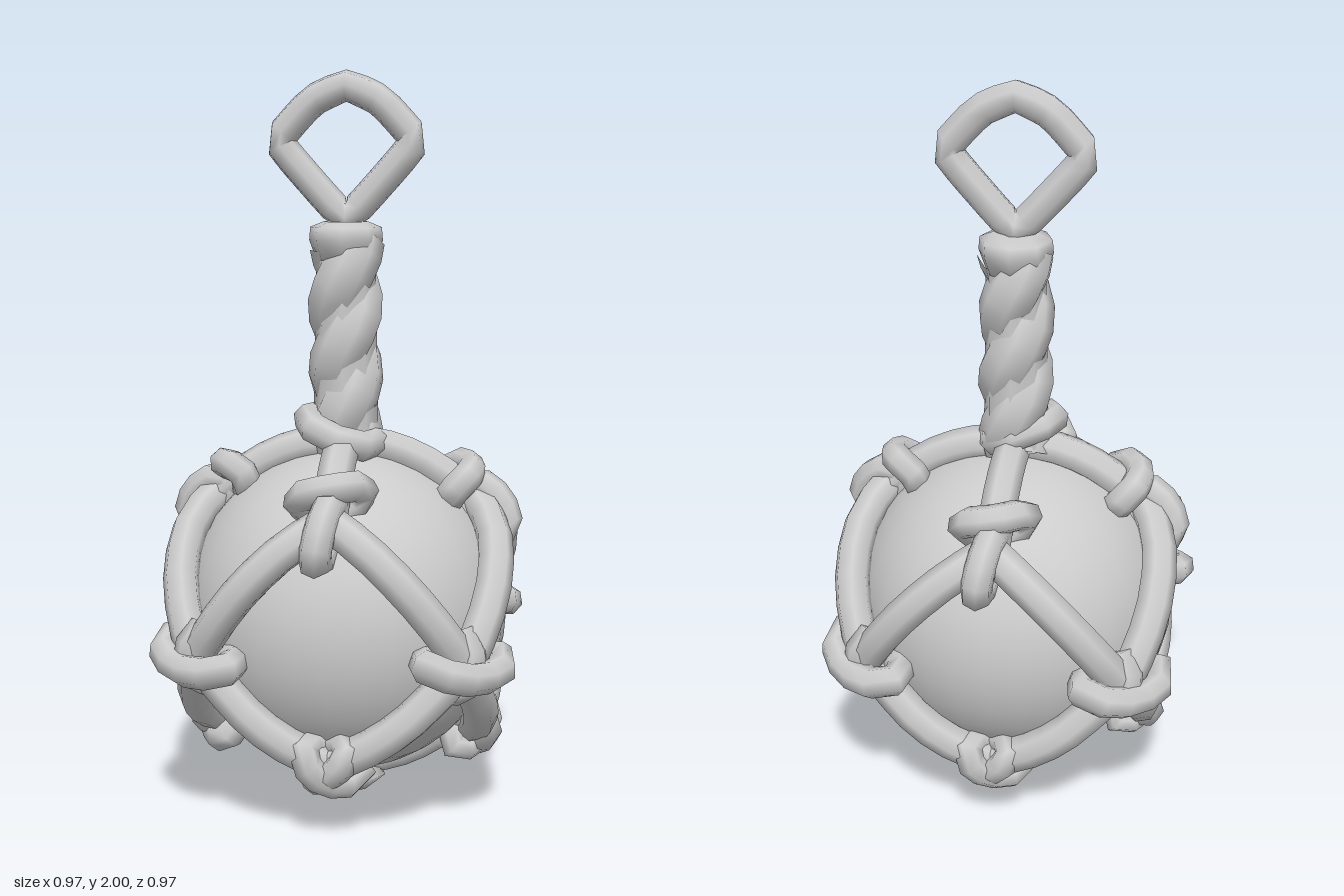
import * as THREE from 'three';

const V = (x, y, z) => new THREE.Vector3(x, y, z);
const CENTRE = V(0, 0.535, 0);
const RADIUS = 0.445;
const ROPE = 0.049;

export function createModel() {
  const model = new THREE.Group();
  model.name = 'nettedFloat';
  const material = new THREE.MeshStandardMaterial({ color: 0xcccccc });

  function add(parent, name, geometry) {
    const mesh = new THREE.Mesh(geometry, material);
    mesh.name = name;
    parent.add(mesh);
    return mesh;
  }

  // Rope along a smooth curve through the points
  function rope(parent, name, points, { radius = ROPE, closed = false, segments = 7, tension = 0.5 } = {}) {
    const curve = new THREE.CatmullRomCurve3(points, closed, 'catmullrom', tension);
    return add(parent, name, new THREE.TubeGeometry(curve, segments, radius, 7, closed));
  }

  // Oval link of rope, lying in its local xz plane
  function link(parent, name, a, b, radius, roll, bend = 0) {
    const points = [];
    for (let i = 0; i < 8; i++) {
      const t = (i / 8) * Math.PI * 2;
      points.push(V(a * Math.cos(t), bend * Math.cos(2 * t), b * Math.sin(t)));
    }
    const mesh = rope(parent, name, points, { radius, closed: true, segments: 10 });
    mesh.rotation.z = roll;
    return mesh;
  }

  // Group at a point on the net, facing outward from the ball
  function outward(parent, name, position) {
    const group = new THREE.Group();
    group.name = name;
    group.position.copy(position);
    group.lookAt(position.clone().multiplyScalar(2).sub(CENTRE));
    parent.add(group);
    return group;
  }

  // Point at a given distance from the ball's centre, towards p
  const onBall = (p, distance) => p.clone().sub(CENTRE).setLength(distance).add(CENTRE);

  // Strand that hugs the ball between two points
  function strand(parent, name, from, to, distance) {
    const points = [from];
    for (const t of [0.25, 0.5, 0.75]) points.push(onBall(from.clone().lerp(to, t), distance));
    points.push(to);
    rope(parent, name, points);
  }

  // Ball
  const ball = add(model, 'ball', new THREE.SphereGeometry(RADIUS, 32, 20));
  ball.position.copy(CENTRE);

  // Net: the same quarter repeated around the ball
  const crown = V(0, 1.0, 0);
  const base = V(0, 0.1, 0);
  const upper = V(0, 0.85, 0.36);
  const lower = V(0, 0.2, 0.35);
  for (let i = 0; i < 4; i++) {
    const quarter = new THREE.Group();
    quarter.name = 'netQuarter';
    const corner = V(0.35, 0.48, 0.35);
    const otherCorner = V(-0.35, 0.48, 0.35);
    strand(quarter, 'crownStrand', crown, upper, 0.468);
    for (const c of [corner, otherCorner]) {
      strand(quarter, 'upperStrand', upper, c, 0.492);
      strand(quarter, 'lowerStrand', c, lower, 0.482);
    }
    strand(quarter, 'baseStrand', lower, base, 0.437);

    // Upper knot: a band above the crossing and a loop hanging over it
    const band = outward(quarter, 'upperKnot', V(0, 0.9, 0.3));
    link(band, 'upperKnotBand', 0.085, 0.055, 0.042, 0.25, 0.012);
    const hanging = outward(quarter, 'upperKnotLoop', V(-0.01, 0.825, 0.385));
    link(hanging, 'hangingLoop', 0.08, 0.045, 0.043, 1.4);

    // Corner knot: a wide band across the meeting strands
    const cornerKnot = outward(quarter, 'cornerKnot', V(0.345, 0.48, 0.345));
    link(cornerKnot, 'cornerKnotBand', 0.132, 0.065, 0.044, -0.1, 0.012);
    link(cornerKnot, 'cornerKnotCross', 0.07, 0.03, 0.04, 1.45);

    // Lower knot: two crossed links
    const lowerKnot = outward(quarter, 'lowerKnot', V(0, 0.205, 0.35));
    link(lowerKnot, 'lowerKnotBand', 0.088, 0.045, 0.043, -0.65, 0.012);
    link(lowerKnot, 'lowerKnotCross', 0.08, 0.04, 0.04, 0.85);

    quarter.rotation.y = (i * Math.PI) / 2;
    model.add(quarter);
  }

  // Knot under the ball
  const baseKnot = outward(model, 'baseKnot', V(0, 0.062, 0));
  link(baseKnot, 'baseKnotBand', 0.08, 0.019, 0.043, 0.4);
  link(baseKnot, 'baseKnotCross', 0.055, 0.015, 0.04, 1.85);

  // Handle: two thick strands twisted tightly around each other
  const handle = new THREE.Group();
  handle.name = 'handle';
  model.add(handle);
  for (let s = 0; s < 2; s++) {
    const points = [];
    for (let i = 0; i <= 12; i++) {
      const t = i / 12;
      const angle = -t * Math.PI * 3.2 + s * Math.PI + 0.5;
      points.push(V(0.03 * Math.cos(angle), 0.98 + 0.57 * t, 0.03 * Math.sin(angle)));
    }
    rope(handle, 'twistedStrand', points, { radius: 0.075, segments: 14 });
  }
  const core = add(handle, 'handleCore', new THREE.CylinderGeometry(0.08, 0.09, 0.54, 8));
  core.position.y = 1.27;

  // Collar at the top of the handle
  const profile = [[0, 1.49], [0.078, 1.49], [0.1, 1.55], [0.097, 1.585], [0.06, 1.6], [0, 1.6]];
  add(handle, 'collar', new THREE.LatheGeometry(profile.map(([x, y]) => new THREE.Vector2(x, y)), 8));

  // Tilted wrap where the handle meets the net
  const wrap = add(handle, 'neckWrap', new THREE.TorusGeometry(0.095, 0.042, 7, 8));
  wrap.position.set(-0.01, 1.035, 0.03);
  wrap.rotation.set(Math.PI / 2 + 0.12, -0.35, 0);

  // Hanging loop
  const half = [[0.09, 1.7], [0.17, 1.792], [0.177, 1.825], [0.092, 1.917]];
  const loop = [V(0, 1.61, 0), ...half.map(([x, y]) => V(x, y, 0)), V(0, 1.957, 0),
    ...half.slice().reverse().map(([x, y]) => V(-x, y, 0))];
  rope(model, 'hangingLoop', loop, { radius: 0.043, closed: true, segments: 24, tension: 0.2 });

  return model;
}
